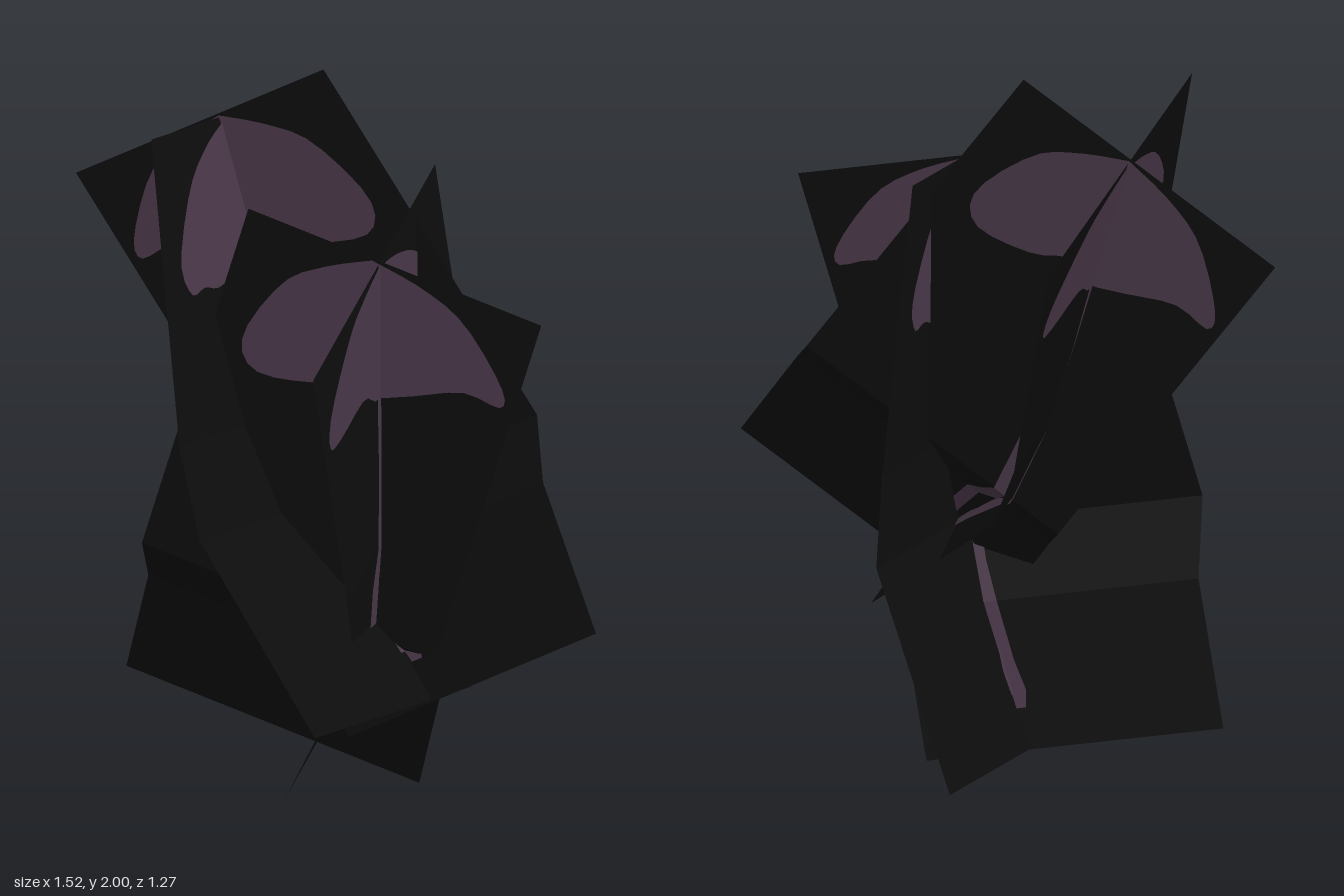
import * as THREE from 'three';

const cardMat = new THREE.MeshStandardMaterial({ color: 0x0d0d0d, side: THREE.DoubleSide });
cardMat.name = 'black card';
const mushroomMat = new THREE.MeshStandardMaterial({ color: 0x4a3849, side: THREE.DoubleSide });
mushroomMat.name = 'dusky mauve';

const V = (a) => new THREE.Vector3(...a);

// Cap outline and stem path [s, v, half width] for the wide and the side card.
// s runs across the card, v runs down it, one unit per bent panel.
const wide = {
  cap: [[0.425, 0.004], [0.29, 0.07], [0.177, 0.157], [0.106, 0.338], [0.178, 0.42], [0.364, 0.39], [0.47, 0.335], [0.55, 0.367],
    [0.668, 0.326], [0.828, 0.259], [0.956, 0.26], [0.935, 0.2], [0.763, 0.075], [0.6, 0.025], [0.425, 0.004]],
  stem: [[0.53, 0.33, 0.028], [0.62, 0.55, 0.022], [0.71, 0.756, 0.02], [0.77, 1, 0.022], [0.75, 1.5, 0.03], [0.7, 2, 0.022],
    [0.675, 2.4, 0.022], [0.665, 2.6, 0.035], [0.66, 2.72, 0.02]],
};
const side = {
  cap: [[0.526, 0.004], [0.4, 0.025], [0.272, 0.07], [0.078, 0.225], [0.036, 0.341], [0.112, 0.373], [0.3, 0.38], [0.385, 0.463],
    [0.519, 0.489], [0.665, 0.534], [0.759, 0.52], [0.842, 0.53], [0.892, 0.416], [0.792, 0.19], [0.66, 0.07], [0.526, 0.004]],
  stem: [[0.42, 0.44, 0.026], [0.34, 0.75, 0.02], [0.265, 1, 0.022], [0.2, 1.4, 0.024], [0.15, 2, 0.035],
    [0.21, 2.4, 0.022], [0.25, 2.65, 0.035], [0.26, 2.76, 0.02]],
};

// A point on a bent card, pushed off its face by h
function onCard(card, s, v, h = 0) {
  const { edge, across } = card;
  const i = Math.min(2, Math.floor(v));
  const p = edge[i].clone().lerp(edge[i + 1], v - i).addScaledVector(across, s);
  const normal = (k) => across.clone().cross(edge[k + 1].clone().sub(edge[k])).normalize();
  const n = normal(i);
  if (v === i && i > 0) n.add(normal(i - 1)).normalize();
  return p.addScaledVector(n, h);
}

// Strip of quads between pairs of points
function ribbon(pairs) {
  const pos = [], idx = [];
  pairs.forEach(([a, b], i) => {
    pos.push(a.x, a.y, a.z, b.x, b.y, b.z);
    const k = i * 2;
    if (i) idx.push(k - 2, k, k - 1, k - 1, k, k + 1);
  });
  const g = new THREE.BufferGeometry();
  g.setAttribute('position', new THREE.Float32BufferAttribute(pos, 3));
  g.setIndex(idx);
  const flat = g.toNonIndexed();
  flat.computeVertexNormals();
  return flat;
}

function addMesh(group, name, geometry, material) {
  const m = new THREE.Mesh(geometry, material);
  m.name = name;
  group.add(m);
}

// One bent card with a cap and a stem painted on both faces
function makeCard(name, edge, across, art) {
  const group = new THREE.Group();
  group.name = name;
  const card = { edge: edge.map(V), across: V(across) };
  addMesh(group, 'card', ribbon([0, 1, 2, 3].map((v) => [onCard(card, 0, v), onCard(card, 1, v)])), cardMat);

  const outline = new THREE.Shape();
  outline.moveTo(...art.cap[0]);
  outline.splineThru(art.cap.slice(1).map((p) => new THREE.Vector2(...p)));
  for (const h of [0.004, -0.004]) {
    const cap = new THREE.ShapeGeometry(outline, 3);
    const pos = cap.attributes.position;
    for (let i = 0; i < pos.count; i++) {
      const p = onCard(card, pos.getX(i), Math.max(0.002, pos.getY(i)), h);
      pos.setXYZ(i, p.x, p.y, p.z);
    }
    if (h > 0) {
      // turn the faces so that they look away from the card
      const index = cap.index;
      for (let i = 0; i < index.count; i += 3) {
        const a = index.getX(i);
        index.setX(i, index.getX(i + 1));
        index.setX(i + 1, a);
      }
    }
    cap.computeVertexNormals();
    addMesh(group, 'cap', cap, mushroomMat);
    const pairs = art.stem.map(([s, v, w]) => [onCard(card, s - w, v, h), onCard(card, s + w, v, h)]);
    addMesh(group, 'stem', ribbon(pairs), mushroomMat);
  }
  return group;
}

export function createModel() {
  const model = new THREE.Group();
  model.name = 'mushrooms';

  // Lower mushroom: two crossed cards
  const lower = new THREE.Group();
  lower.name = 'lowerMushroom';
  lower.add(
    makeCard('wideCard', [[-0.16, 1.71, 0.17], [-0.41, 0.72, 0.28], [-0.475, 0.555, 0.165], [-0.61, 0.21, 0.075]],
      [0.727, -0.205, -0.248], wide),
    makeCard('sideCard', [[0.26, 1.49, 0.465], [0.225, 0.755, 0.275], [0.195, 0.535, 0.205], [-0.09, 0.018, 0.11]],
      [-0.175, 0.226, -0.748], side));

  // Taller leaning mushroom: the same cards turned half round
  const taller = new THREE.Group();
  taller.name = 'tallerMushroom';
  taller.add(
    makeCard('wideCard', [[-0.125, 2, -0.098], [0.43, 1.13, -0.245], [0.53, 1.02, -0.135], [0.758, 0.7, -0.05]],
      [-0.635, -0.425, 0.182], wide),
    makeCard('sideCard', [[-0.43, 1.69, -0.445], [-0.2, 0.97, -0.253], [-0.1, 0.76, -0.203], [0.318, 0.37, -0.122]],
      [0.07, 0.213, 0.753], side));

  model.add(lower, taller);
  return model;
}
